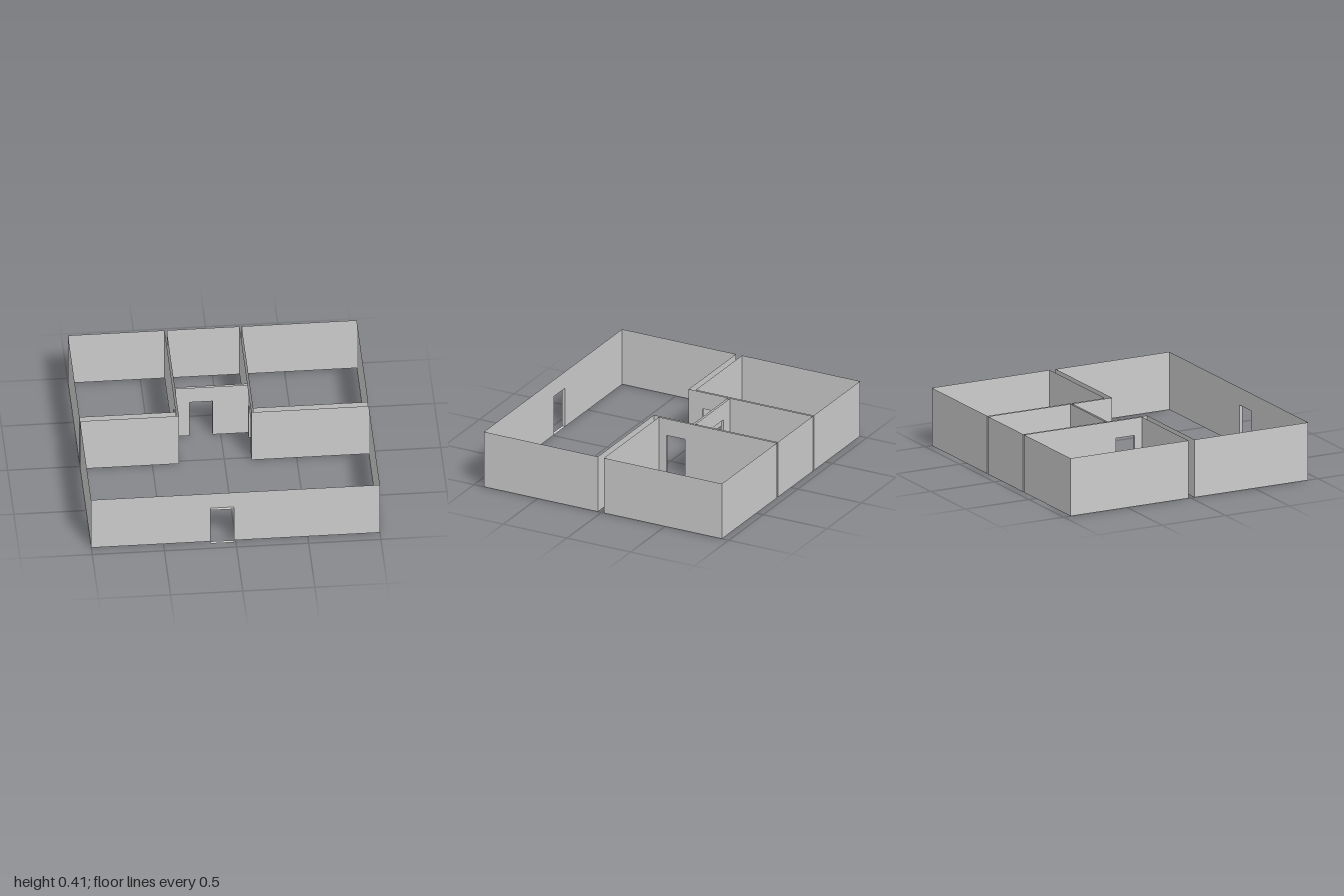
import * as THREE from 'three';

const WALL_H = 0.415;
const DOOR_H = 0.29;
const material = new THREE.MeshStandardMaterial({ color: 0xcccccc, side: THREE.DoubleSide, flatShading: true });

// Paper-thin upright wall from plan point a to b; door = [start, end] distances along it
function wall(name, a, b, height = WALL_H, door = null) {
  const dx = b[0] - a[0], dz = b[1] - a[1];
  const length = Math.hypot(dx, dz);
  const shape = new THREE.Shape();
  shape.moveTo(0, 0);
  if (door) {
    shape.lineTo(door[0], 0);
    shape.lineTo(door[0], DOOR_H);
    shape.lineTo(door[1], DOOR_H);
    shape.lineTo(door[1], 0);
  }
  shape.lineTo(length, 0);
  shape.lineTo(length, height);
  shape.lineTo(0, height);
  shape.closePath();
  const mesh = new THREE.Mesh(new THREE.ShapeGeometry(shape), material);
  mesh.name = name;
  mesh.position.set(a[0], 0, a[1]);
  mesh.rotation.y = Math.atan2(-dz, dx);
  return mesh;
}

// Closed ring of walls; doors maps a wall's index to its opening
function room(name, corners, doors) {
  const group = new THREE.Group();
  group.name = name;
  corners.forEach((a, i) => {
    const b = corners[(i + 1) % corners.length];
    group.add(wall('wall', a, b, WALL_H, doors[i]));
  });
  return group;
}

// Horizontal panel over a plan rectangle
function panel(name, x0, x1, z0, z1, y) {
  const geometry = new THREE.PlaneGeometry(x1 - x0, z1 - z0).rotateX(-Math.PI / 2);
  const mesh = new THREE.Mesh(geometry, material);
  mesh.name = name;
  mesh.position.set((x0 + x1) / 2, y, (z0 + z1) / 2);
  return mesh;
}

// Lining of a doorway; alongX tells which way its wall runs
function doorway(name, x0, x1, z0, z1, alongX, sill = false) {
  const group = new THREE.Group();
  group.name = name;
  group.add(panel('doorHead', x0, x1, z0, z1, DOOR_H));
  if (sill) group.add(panel('doorSill', x0, x1, z0, z1, 0));
  if (alongX) {
    for (const x of [x0, x1]) group.add(wall('doorJamb', [x, z0], [x, z1], DOOR_H));
  } else {
    for (const z of [z0, z1]) group.add(wall('doorJamb', [x0, z], [x1, z], DOOR_H));
  }
  return group;
}

export function createModel() {
  const model = new THREE.Group();
  model.name = 'floorPlan';

  const front = 0.922, back = -0.946;
  const livingBack = 0.028, bedFront = -0.02;
  const hallL = -0.316, hallR = 0.188, hallBack = -0.282;
  const bedL = -0.331, bedR = 0.203, bathFront = -0.298;
  const sideDoor = [-0.225, -0.08], bathDoor = [-0.215, -0.057], entry = [-0.175, -0.012];

  // Front living room with the hall opening off its back
  model.add(room('livingRoomAndHall', [
    [-1, front], [1, front], [1, livingBack], [hallR, livingBack],
    [hallR, hallBack], [hallL, hallBack], [hallL, livingBack], [-1, livingBack],
  ], {
    0: [entry[0] + 1, entry[1] + 1],
    3: [livingBack - sideDoor[1], livingBack - sideDoor[0]],
    4: [hallR - bathDoor[1], hallR - bathDoor[0]],
    5: [sideDoor[0] - hallBack, sideDoor[1] - hallBack],
  }));

  // Back rooms, each with its own walls and a narrow gap to its neighbour
  model.add(room('rightBedroom', [
    [-1, bedFront], [bedL, bedFront], [bedL, back], [-1, back],
  ], { 1: [bedFront - sideDoor[1], bedFront - sideDoor[0]] }));
  model.add(room('leftBedroom', [
    [1, bedFront], [bedR, bedFront], [bedR, back], [1, back],
  ], { 1: [bedFront - sideDoor[1], bedFront - sideDoor[0]] }));
  model.add(room('middleRoom', [
    [hallL, bathFront], [hallR, bathFront], [hallR, back], [hallL, back],
  ], { 0: [bathDoor[0] - hallL, bathDoor[1] - hallL] }));

  // Doorway linings bridging the gaps, and the projecting entry frame
  model.add(
    doorway('entryDoorway', ...entry, front, 0.946, true, true),
    doorway('middleDoorway', ...bathDoor, bathFront, hallBack, true),
    doorway('rightBedroomDoorway', bedL, hallL, ...sideDoor, false),
    doorway('leftBedroomDoorway', hallR, bedR, ...sideDoor, false),
  );
  return model;
}
